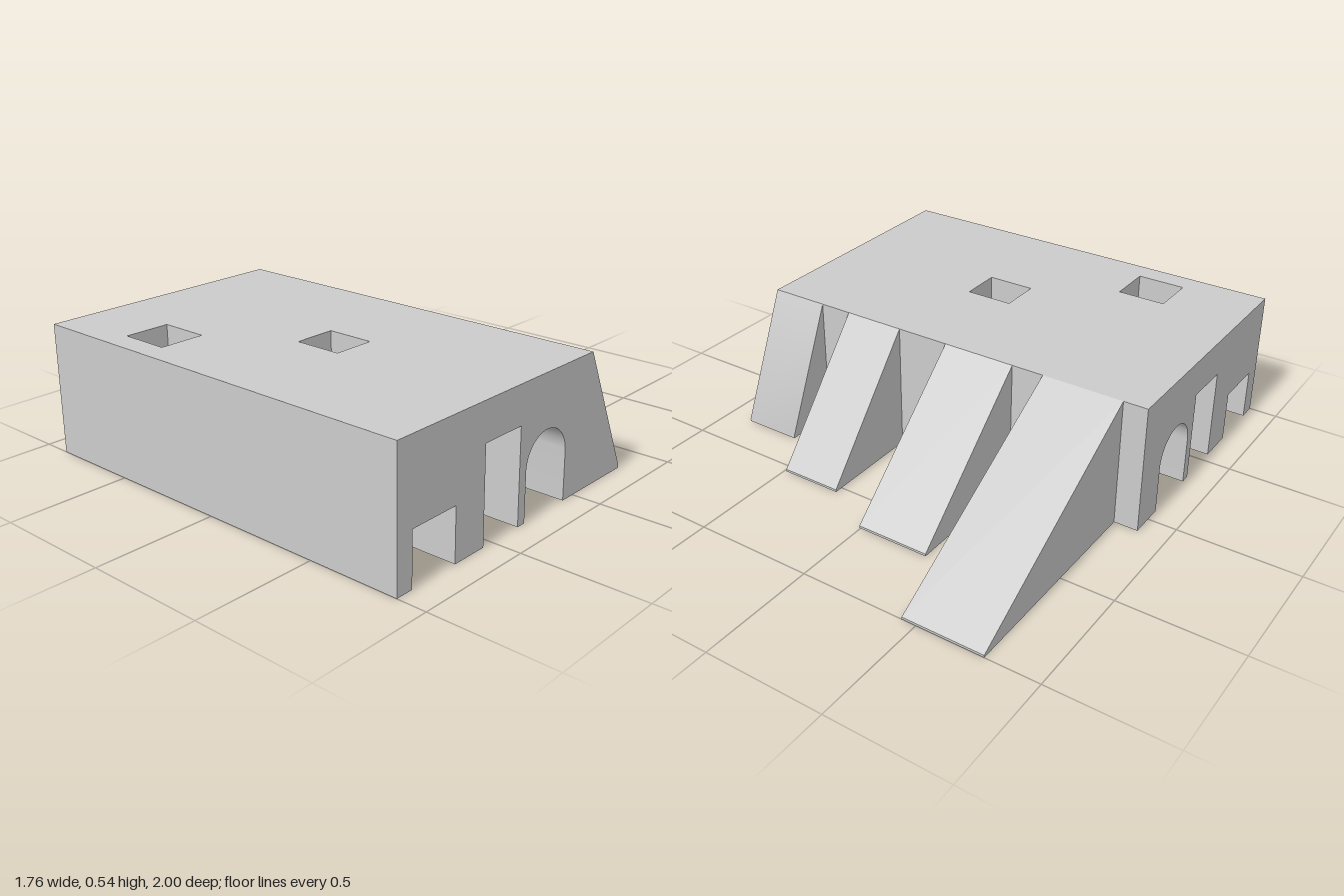
import * as THREE from 'three';
import { toCreasedNormals } from 'three/addons/utils/BufferGeometryUtils.js';

const W = 0.88, H = 0.54, BACK = -0.09, FRONT = 1;
const ROOF = 0.385; // underside of the roof slab
const material = new THREE.MeshStandardMaterial({ color: 0xcccccc });

const rect = (Type, x0, y0, x1, y1) => {
  const s = new Type();
  s.moveTo(x0, y0);
  s.lineTo(x1, y0);
  s.lineTo(x1, y1);
  s.lineTo(x0, y1);
  s.closePath();
  return s;
};

const extrude = (shape, depth) =>
  new THREE.ExtrudeGeometry(shape, { depth, bevelEnabled: false, curveSegments: 20 });

// Horizontal plate: shape drawn in (x, z), filling y0..y1
const plate = (shape, y0, y1) => extrude(shape, y1 - y0).rotateX(Math.PI / 2).translate(0, y1, 0);

// Upright wall: shape drawn in (x, y), filling z0..z1
const wall = (shape, z0, z1) => extrude(shape, z1 - z0).translate(0, 0, z0);

// Side profile: shape drawn in (z, y), filling x0..x1
const profile = (shape, x0, x1) => extrude(shape, x1 - x0).rotateY(-Math.PI / 2).translate(x1, 0, 0);

export function createModel() {
  const model = new THREE.Group();
  const add = (name, geometry) => {
    const mesh = new THREE.Mesh(toCreasedNormals(geometry, 0.5), material);
    mesh.name = name;
    model.add(mesh);
  };

  // Roof slab with two square shafts
  const roof = rect(THREE.Shape, -W, BACK, W, FRONT);
  roof.holes.push(
    rect(THREE.Path, -0.01, 0.355, 0.19, 0.53),
    rect(THREE.Path, -0.545, 0.715, -0.34, 0.905)
  );
  add('roofSlab', plate(roof, ROOF, H));

  // Lower ceiling above the front channel, pierced by the front shaft
  const ceiling = rect(THREE.Shape, -W, 0.705, W, 0.925);
  ceiling.holes.push(rect(THREE.Path, -0.545, 0.715, -0.34, 0.905));
  add('frontChannelCeiling', plate(ceiling, 0.215, ROOF));

  add('frontWall', wall(rect(THREE.Shape, -W, 0, W, ROOF), 0.925, FRONT));

  // Divider between the channels with a doorway and a round bore
  const divider = new THREE.Shape();
  [[-W, 0], [0.25, 0], [0.25, 0.2], [0.43, 0.2], [0.43, 0], [W, 0], [W, ROOF], [-W, ROOF]]
    .forEach(([x, y], i) => (i ? divider.lineTo(x, y) : divider.moveTo(x, y)));
  divider.closePath();
  divider.holes.push(new THREE.Path().absarc(-0.33, 0.105, 0.1, 0, Math.PI * 2, true));
  add('dividerWall', wall(divider, 0.55, 0.705));

  // Rear mass with the arched tunnel cut along its length
  const rear = new THREE.Shape();
  rear.moveTo(BACK, 0);
  rear.lineTo(0.065, 0);
  rear.lineTo(0.065, 0.2);
  rear.absarc(0.1875, 0.2, 0.1225, Math.PI, 0, true);
  rear.lineTo(0.31, 0);
  rear.lineTo(0.35, 0);
  rear.lineTo(0.35, ROOF);
  rear.lineTo(BACK, ROOF);
  rear.closePath();
  add('archedTunnel', profile(rear, -W, W));

  // Four ramps of decreasing length: x range and tip position
  const ramps = [
    [-0.78, -0.44, -1],
    [-0.305, 0.005, -0.67],
    [0.23, 0.49, -0.535],
    [0.63, W, -0.325]
  ];
  ramps.forEach(([x0, x1, tip], i) => {
    const side = new THREE.Shape();
    side.moveTo(BACK, 0);
    side.lineTo(BACK, H);
    side.lineTo(tip, 0.01);
    side.lineTo(tip, 0);
    side.closePath();
    add(`ramp${i + 1}`, profile(side, x0, x1));
  });

  return model;
}
